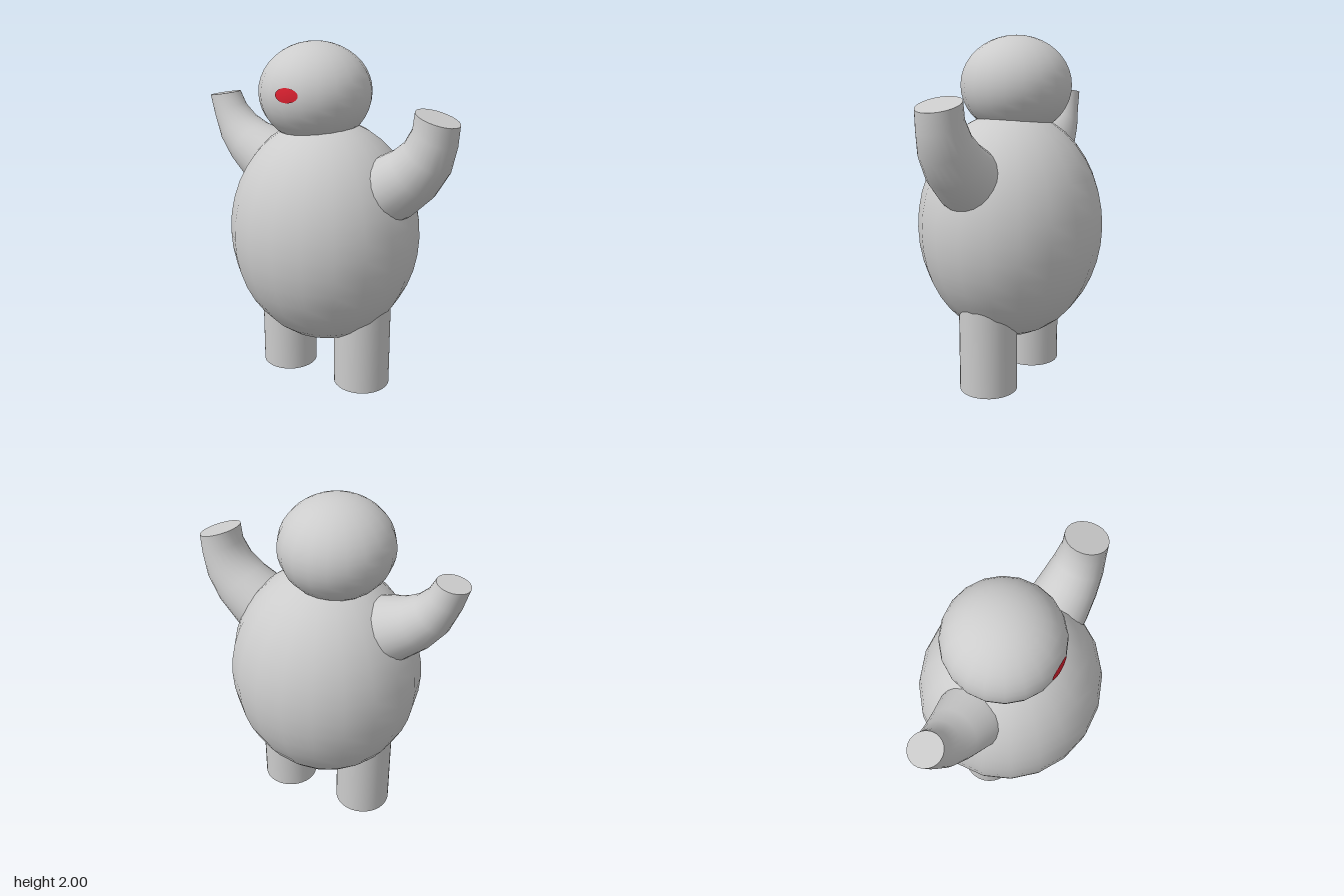
import * as THREE from 'three';

const grey = new THREE.MeshStandardMaterial({ color: 0xcccccc });
grey.name = 'light grey';
const red = new THREE.MeshStandardMaterial({ color: 0xd8202f });
red.name = 'red';

function add(group, name, geometry, material = grey) {
  const mesh = new THREE.Mesh(geometry, material);
  mesh.name = name;
  group.add(mesh);
  return mesh;
}

// Tapered, bent arm: stations are [x, y, radius, heading in degrees]
function armGeometry(stations, z, sides = 24) {
  const pos = [], index = [];
  const ring = ([x, y, r, deg]) => {
    const a = THREE.MathUtils.degToRad(deg);
    for (let j = 0; j <= sides; j++) {
      const t = (j / sides) * Math.PI * 2, c = Math.cos(t) * r;
      pos.push(x - Math.sin(a) * c, y + Math.cos(a) * c, z + Math.sin(t) * r);
    }
  };
  stations.forEach(ring);
  const row = sides + 1;
  for (let i = 0; i < stations.length - 1; i++) {
    for (let j = 0; j < sides; j++) {
      const a = i * row + j, b = a + row;
      index.push(a, a + 1, b, a + 1, b + 1, b);
    }
  }
  // flat end cap with its own vertices
  const tip = stations[stations.length - 1], start = pos.length / 3;
  ring(tip);
  pos.push(tip[0], tip[1], z);
  for (let j = 0; j < sides; j++) index.push(start + j, start + j + 1, start + row);
  const g = new THREE.BufferGeometry();
  g.setAttribute('position', new THREE.Float32BufferAttribute(pos, 3));
  g.setIndex(index);
  g.computeVertexNormals();
  // share normals across the seam
  const n = g.attributes.normal;
  for (let i = 0; i < stations.length; i++) {
    const a = i * row, b = a + sides;
    const v = new THREE.Vector3().fromBufferAttribute(n, a)
      .add(new THREE.Vector3().fromBufferAttribute(n, b)).normalize();
    n.setXYZ(a, v.x, v.y, v.z);
    n.setXYZ(b, v.x, v.y, v.z);
  }
  return g;
}

export function createModel() {
  const model = new THREE.Group();
  model.name = 'roundFigure';

  // Egg-like body
  add(model, 'body', new THREE.SphereGeometry(1, 20, 20).scale(0.56, 0.66, 0.53))
    .position.y = 0.92;

  // Head, slightly off centre
  const head = new THREE.Group();
  head.name = 'head';
  head.position.set(-0.0625, 1.72, 0);
  model.add(head);
  const rx = 0.319, ry = 0.28;
  add(head, 'skull', new THREE.SphereGeometry(1, 20, 20).scale(rx, ry, rx));

  // Oval nose patch wrapped onto the head
  const nose = new THREE.RingGeometry(0.0001, 1, 24, 4).scale(0.069, 0.039, 1).translate(0.022, 0.026, 0);
  const p = nose.attributes.position;
  for (let i = 0; i < p.count; i++) {
    const x = p.getX(i) / rx, y = p.getY(i) / ry;
    p.setZ(i, rx * Math.sqrt(1 - x * x - y * y) + 0.002);
  }
  nose.computeVertexNormals();
  add(head, 'nose', nose, red);

  // Legs
  for (const [name, side] of [['leftLeg', 1], ['rightLeg', -1]]) {
    add(model, name, new THREE.CylinderGeometry(0.166, 0.166, 0.7, 32))
      .position.set(side * 0.262, 0.35, 0);
  }

  // Raised arms, the left one thicker at the tip
  add(model, 'leftArm', armGeometry([
    [0.25, 1.13, 0.19, 30], [0.45, 1.255, 0.184, 35], [0.565, 1.345, 0.165, 45],
    [0.642, 1.445, 0.145, 58], [0.68, 1.555, 0.126, 69], [0.689, 1.655, 0.122, 73.5],
  ], 0.015));
  add(model, 'rightArm', armGeometry([
    [-0.22, 1.24, 0.195, 163], [-0.41, 1.31, 0.184, 157], [-0.535, 1.385, 0.15, 143],
    [-0.62, 1.463, 0.125, 131], [-0.68, 1.565, 0.1, 113], [-0.715, 1.66, 0.091, 99.5],
  ], 0));

  return model;
}
